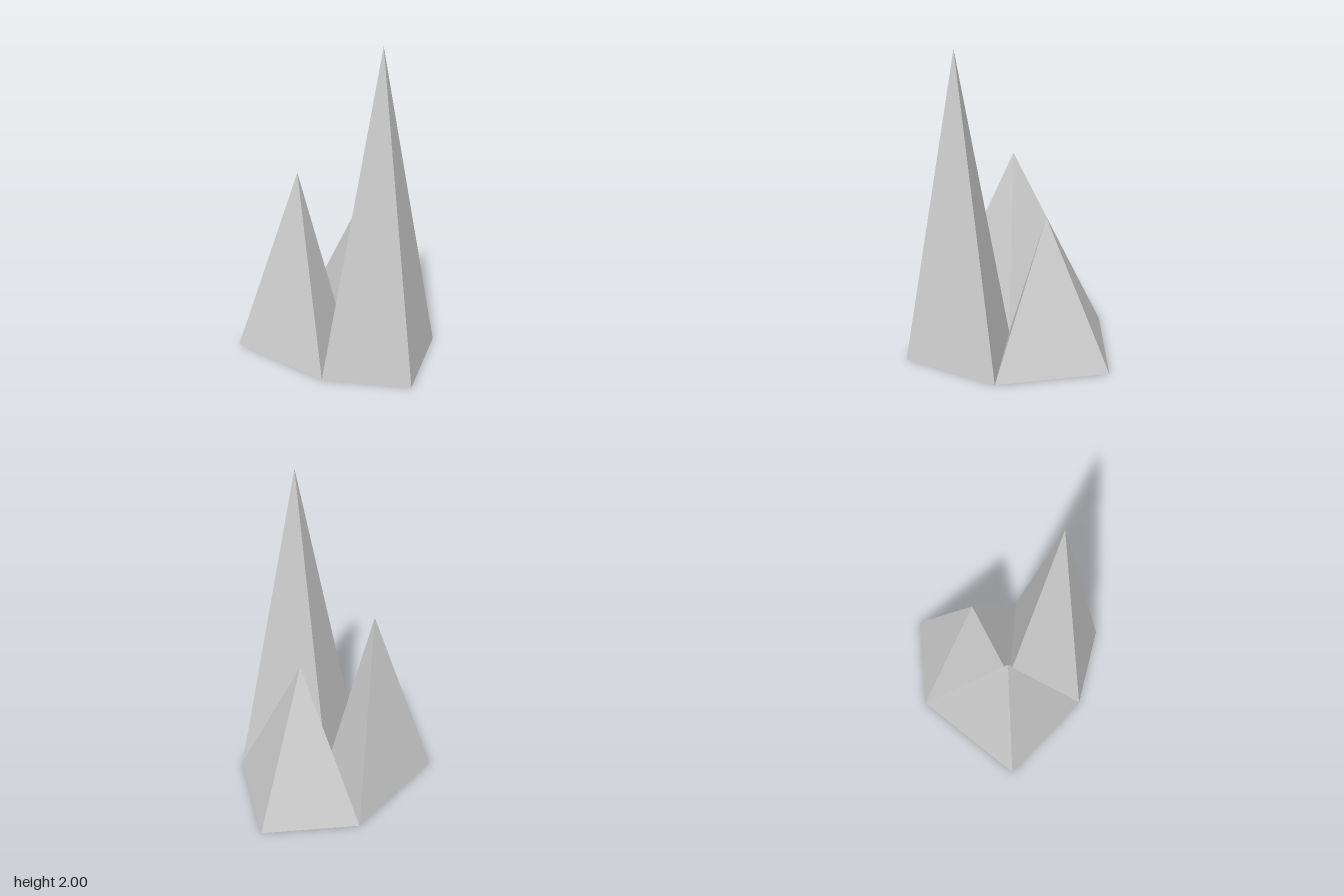
import * as THREE from 'three';

// Ground points [x, z] shared by neighbouring spikes
const left = [-0.628, 0.038];
const backLeft = [-0.14, -0.576];
const backRight = [0.466, -0.637];
const right = [0.626, 0.058];
const frontRight = [0.402, 0.633];
const frontLeft = [-0.126, 0.503];
const centre = [0.063, 0.01];

// Closed pyramid: base corners run counter-clockwise seen from above
function spike(name, base, apex, material) {
  const corners = base.map(([x, z]) => [x, 0, z]);
  const positions = [];
  corners.forEach((corner, i) => {
    positions.push(...corner, ...corners[(i + 1) % corners.length], ...apex);
  });
  // Underside fan
  for (let i = 1; i < corners.length - 1; i++) {
    positions.push(...corners[0], ...corners[i + 1], ...corners[i]);
  }
  const geometry = new THREE.BufferGeometry();
  geometry.setAttribute('position', new THREE.Float32BufferAttribute(positions, 3));
  geometry.computeVertexNormals();
  const mesh = new THREE.Mesh(geometry, material);
  mesh.name = name;
  return mesh;
}

export function createModel() {
  const group = new THREE.Group();
  group.name = 'rockSpikes';
  const rock = new THREE.MeshStandardMaterial({ color: 0xcccccc, flatShading: true });

  group.add(
    spike('tallFrontSpike', [centre, frontLeft, frontRight, right], [0.241, 2, 0.304], rock),
    spike('middleSideSpike', [left, frontLeft, centre, backLeft], [-0.237, 1.155, 0.003], rock),
    spike('shortBackSpike', [backLeft, centre, right, backRight], [0.217, 0.947, -0.225], rock),
  );
  return group;
}
